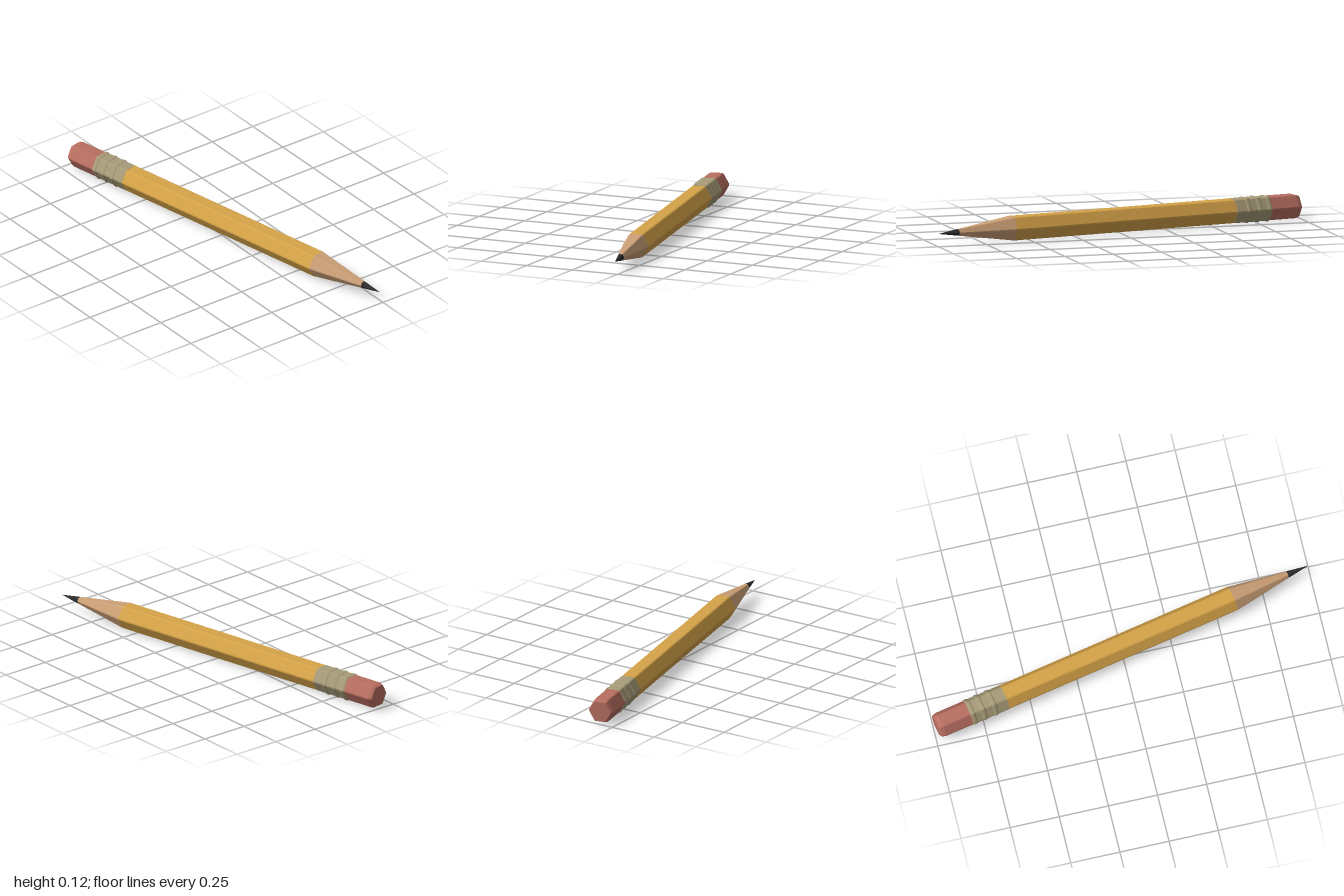
import * as THREE from 'three';

const R = 0.067;      // corner radius of the hexagonal barrel
const BEVEL = 0.06;   // share of each side cut away at a corner

// Unit hexagon with flats up and down and slightly bevelled corners, as [y, z]
function hexSection() {
  const corner = (i) => [Math.sin((i * Math.PI) / 3), Math.cos((i * Math.PI) / 3)];
  const points = [];
  for (let i = 0; i < 6; i++) {
    const a = corner(i), b = corner(i + 1);
    for (const t of [BEVEL, 1 - BEVEL]) {
      points.push([a[0] + (b[0] - a[0]) * t, a[1] + (b[1] - a[1]) * t]);
    }
  }
  return points;
}

// Flat-sided loft along x through [position, scale] stations
function hexLoft(stations) {
  const section = hexSection();
  const n = section.length;
  const positions = [];
  for (let i = 0; i < stations.length - 1; i++) {
    const [x0, s0] = stations[i];
    const [x1, s1] = stations[i + 1];
    for (let k = 0; k < n; k++) {
      const p = section[k], q = section[(k + 1) % n];
      const at = (x, s, c) => [x, c[0] * s * R, c[1] * s * R];
      const a = at(x0, s0, p), b = at(x0, s0, q), c = at(x1, s1, q), d = at(x1, s1, p);
      if (s1 > 0) positions.push(...a, ...d, ...c);
      if (s0 > 0) positions.push(...a, ...c, ...b);
    }
  }
  const geometry = new THREE.BufferGeometry();
  geometry.setAttribute('position', new THREE.Float32BufferAttribute(positions, 3));
  geometry.computeVertexNormals();
  return geometry;
}

export function createModel() {
  const group = new THREE.Group();
  group.name = 'pencil';

  const material = (name, color) => {
    const m = new THREE.MeshStandardMaterial({ color });
    m.name = name;
    return m;
  };
  const add = (name, stations, mat) => {
    const mesh = new THREE.Mesh(hexLoft(stations), mat);
    mesh.name = name;
    group.add(mesh);
  };

  // Eraser with a chamfered end
  add('eraser', [[-1.008, 0], [-1.008, 0.86], [-1.001, 0.93], [-0.985, 1], [-0.825, 1]],
    material('eraserPink', 0xb96f62));

  // Metal ferrule with three raised bands
  const ferrule = [[-0.838, 1]];
  for (const x of [-0.825, -0.77, -0.71]) {
    ferrule.push([x - 0.013, 1.015], [x - 0.006, 1.07], [x + 0.006, 1.07], [x + 0.013, 1.015]);
  }
  ferrule.push([-0.64, 1.015], [-0.64, 1]);
  add('ferrule', ferrule, material('ferruleMetal', 0xa79b78));

  // Painted barrel
  add('barrel', [[-0.64, 1], [0.604, 1]], material('barrelYellow', 0xd7a448));

  // Sharpened wood and lead share one straight taper
  const tip = 1.018, shoulder = 0.604, leadStart = 0.905;
  const leadScale = (tip - leadStart) / (tip - shoulder);
  add('sharpenedWood', [[shoulder, 1], [leadStart, leadScale]], material('bareWood', 0xcb9f76));
  add('leadTip', [[leadStart, leadScale], [tip, 0]], material('graphite', 0x2d2d30));

  // Lay the pencil on the ground at a slight angle
  group.rotation.y = THREE.MathUtils.degToRad(11.5);
  group.position.set(0, 0.0635, -0.032);

  const model = new THREE.Group();
  model.name = 'model';
  model.add(group);
  return model;
}
